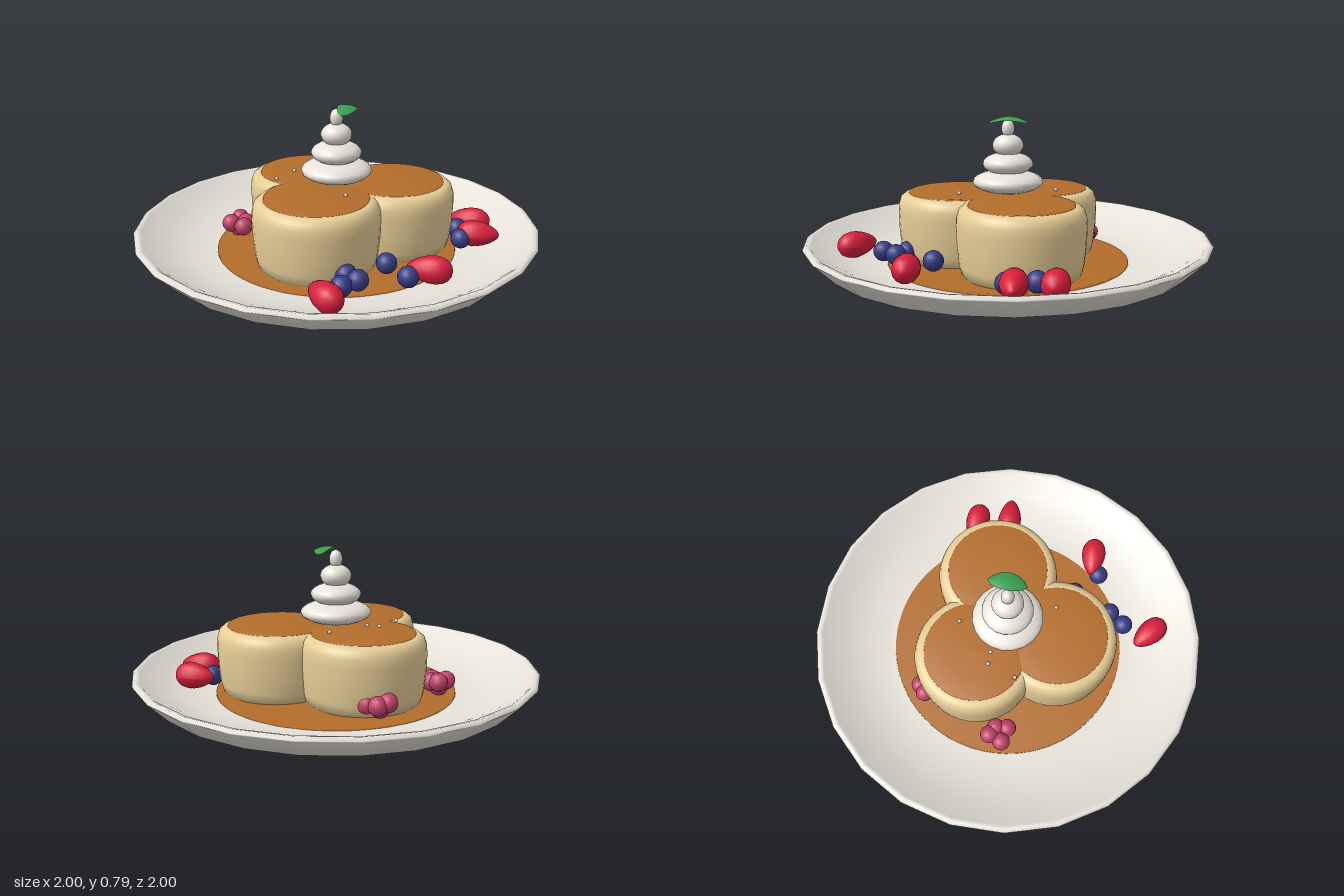
import * as THREE from 'three';

const mat = (name, color, side = THREE.FrontSide) => {
  const m = new THREE.MeshStandardMaterial({ color, side });
  m.name = name;
  return m;
};

export function createModel() {
  const group = new THREE.Group();
  const porcelain = mat('porcelain', 0xe6e2da);
  const sponge = mat('sponge', 0xe8cf98);
  const syrup = mat('syrup', 0xb36d2b);
  const whipped = mat('cream', 0xe9e5dd);
  const red = mat('strawberry red', 0xd81f3c);
  const blue = mat('blueberry blue', 0x363c86);
  const pink = mat('raspberry pink', 0xc2426b);
  const green = mat('mint green', 0x3c9f50, THREE.DoubleSide);

  const add = (name, geometry, material, x = 0, y = 0, z = 0, parent = group) => {
    const mesh = new THREE.Mesh(geometry, material);
    mesh.name = name;
    mesh.position.set(x, y, z);
    parent.add(mesh);
    return mesh;
  };
  const lathe = (points, segments) =>
    new THREE.LatheGeometry(points.map(([r, y]) => new THREE.Vector2(r, y)), segments);

  // Plate: foot, flared underside, thin rim and shallow bowl
  add('plate', lathe([[0, 0], [0.6, 0], [0.62, 0.04], [0.9, 0.085], [0.995, 0.18], [1, 0.187],
    [0.985, 0.2], [0.965, 0.195], [0.87, 0.13], [0.74, 0.09], [0.6, 0.072], [0, 0.07]], 24), porcelain);

  // Syrup pool
  add('syrupPool', lathe([[0.6, 0.07], [0.598, 0.08], [0, 0.082]], 64), syrup);

  // Three round cakes, each with a syrup top
  const cake = lathe([[0, 0.075], [0.28, 0.075], [0.293, 0.13], [0.302, 0.22], [0.305, 0.31],
    [0.302, 0.35], [0.292, 0.382], [0.272, 0.398], [0.25, 0.404], [0, 0.404]], 40);
  const glaze = lathe([[0.252, 0.402], [0.248, 0.409], [0.15, 0.415], [0, 0.418]], 40);
  for (const [x, z] of [[0, -0.222], [-0.22, 0.125], [0.235, 0.158]]) {
    add('cake', cake, sponge, x, 0, z);
    add('cakeGlaze', glaze, syrup, x, 0, z);
  }

  // Whipped cream swirl of flattened tiers
  const ball = new THREE.SphereGeometry(1, 20, 12);
  for (const [r, h, y] of [[0.175, 0.058, 0.465], [0.125, 0.056, 0.555],
    [0.077, 0.056, 0.645], [0.032, 0.045, 0.727]]) {
    add('creamTier', ball, whipped, 0, y, 0).scale.set(r, h, r);
  }

  // Mint leaf: pointed grid, arched along its length and folded at the midrib
  const leaf = new THREE.PlaneGeometry(2, 2, 10, 4);
  leaf.rotateX(-Math.PI / 2);
  const lp = leaf.attributes.position;
  for (let i = 0; i < lp.count; i++) {
    const u = lp.getX(i), v = lp.getZ(i);
    const w = 0.047 * Math.pow(Math.max(0, 1 - u * u), 0.65);
    lp.setXYZ(i, u * 0.094, 0.024 * (1 - u * u) - 0.008 * v * v, v * w);
  }
  leaf.computeVertexNormals();
  const mint = add('mintLeaf', leaf, green, 0.038, 0.764, 0.036);
  mint.rotation.set(0.15, 0.6, 0, 'YXZ');

  // Strawberries: egg shapes that taper towards the pointed end (+z)
  const egg = new THREE.SphereGeometry(1, 14, 10);
  egg.rotateX(Math.PI / 2);
  const ep = egg.attributes.position;
  for (let i = 0; i < ep.count; i++) {
    const z = ep.getZ(i), taper = 1 - 0.25 * z;
    ep.setXY(i, ep.getX(i) * taper, ep.getY(i) * taper);
  }
  egg.computeVertexNormals();
  for (const [x, z, y, dx, dz] of [[-0.503, 0.552, 0.16, 0.1, -1], [0.006, 0.655, 0.165, -0.6, -0.8],
    [0.5, 0.5, 0.155, 0.62, 0.78], [0.607, 0.35, 0.155, -0.5, -0.87]]) {
    const s = add('strawberry', egg, red, x, y, z);
    s.scale.set(0.062, 0.064, 0.104);
    s.rotation.y = Math.atan2(dx, dz);
  }

  // Blueberries
  const berry = new THREE.SphereGeometry(0.05, 14, 10);
  for (const [x, z] of [[-0.37, 0.495], [-0.275, 0.495], [-0.28, 0.42], [-0.06, 0.445],
    [-0.08, 0.61], [0.42, 0.46], [0.505, 0.355]]) {
    add('blueberry', berry, blue, x, 0.137, z);
  }

  // Raspberries: clusters of small drupelets
  const drupelet = new THREE.SphereGeometry(0.046, 12, 8);
  for (const [x, z, turn] of [[-0.335, -0.395, 0], [0.1, -0.475, 1.2]]) {
    const raspberry = new THREE.Group();
    raspberry.name = 'raspberry';
    raspberry.position.set(x, 0.13, z);
    raspberry.rotation.y = turn;
    for (const [a, b, c] of [[-0.037, 0.015, -0.012], [0.03, 0.022, -0.03], [-0.008, 0.01, 0.06],
      [0.035, 0.012, 0.02], [0, -0.012, 0]]) {
      add('drupelet', drupelet, pink, a, b, c, raspberry);
    }
    group.add(raspberry);
  }

  // Sugar pearls on the glaze
  const pearl = new THREE.SphereGeometry(0.01, 8, 6);
  for (const [x, z] of [[-0.235, -0.18], [-0.095, -0.225], [0.162, -0.175], [-0.06, -0.175],
    [-0.12, 0.22]]) {
    add('sugarPearl', pearl, whipped, x, 0.42, z);
  }
  return group;
}
